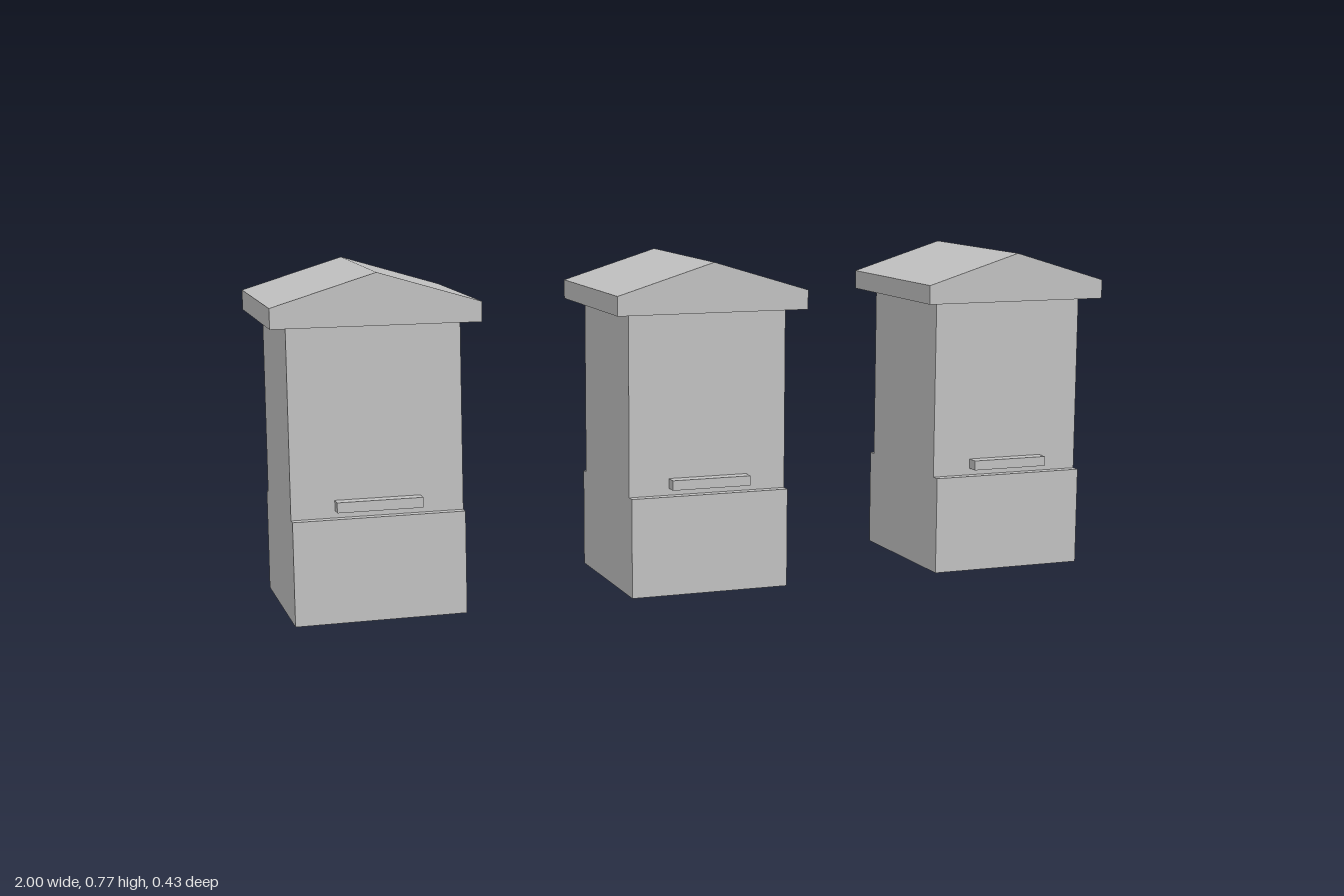
import * as THREE from 'three';

const grey = new THREE.MeshStandardMaterial({ color: 0xc0c0c0 });
grey.name = 'plain grey';

function part(name, geometry) {
  const mesh = new THREE.Mesh(geometry, grey);
  mesh.name = name;
  return mesh;
}

// box given by its size, bottom height and centre depth
function box(name, w, h, d, bottom, z = 0) {
  return part(name, new THREE.BoxGeometry(w, h, d).translate(0, bottom + h / 2, z));
}

// gabled roof with short vertical eaves
function roof() {
  const depth = 0.43;
  const shape = new THREE.Shape([
    [-0.23, 0.655], [0.23, 0.655], [0.23, 0.7], [0, 0.77], [-0.23, 0.7],
  ].map(([x, y]) => new THREE.Vector2(x, y)));
  const geometry = new THREE.ExtrudeGeometry(shape, { depth, bevelEnabled: false });
  return part('roof', geometry.translate(0, 0, -depth / 2));
}

function createHive() {
  const hive = new THREE.Group();
  hive.add(
    box('base', 0.382, 0.232, 0.386, 0),
    box('body', 0.382, 0.423, 0.344, 0.232),
    box('landingLedge', 0.19, 0.023, 0.03, 0.248, 0.187),
    roof(),
  );
  return hive;
}

export function createModel() {
  const model = new THREE.Group();
  model.name = 'hiveRow';
  // three identical hives in a row
  ['rightHive', 'middleHive', 'leftHive'].forEach((name, i) => {
    const hive = createHive();
    hive.name = name;
    hive.position.x = (i - 1) * 0.77;
    model.add(hive);
  });
  return model;
}
